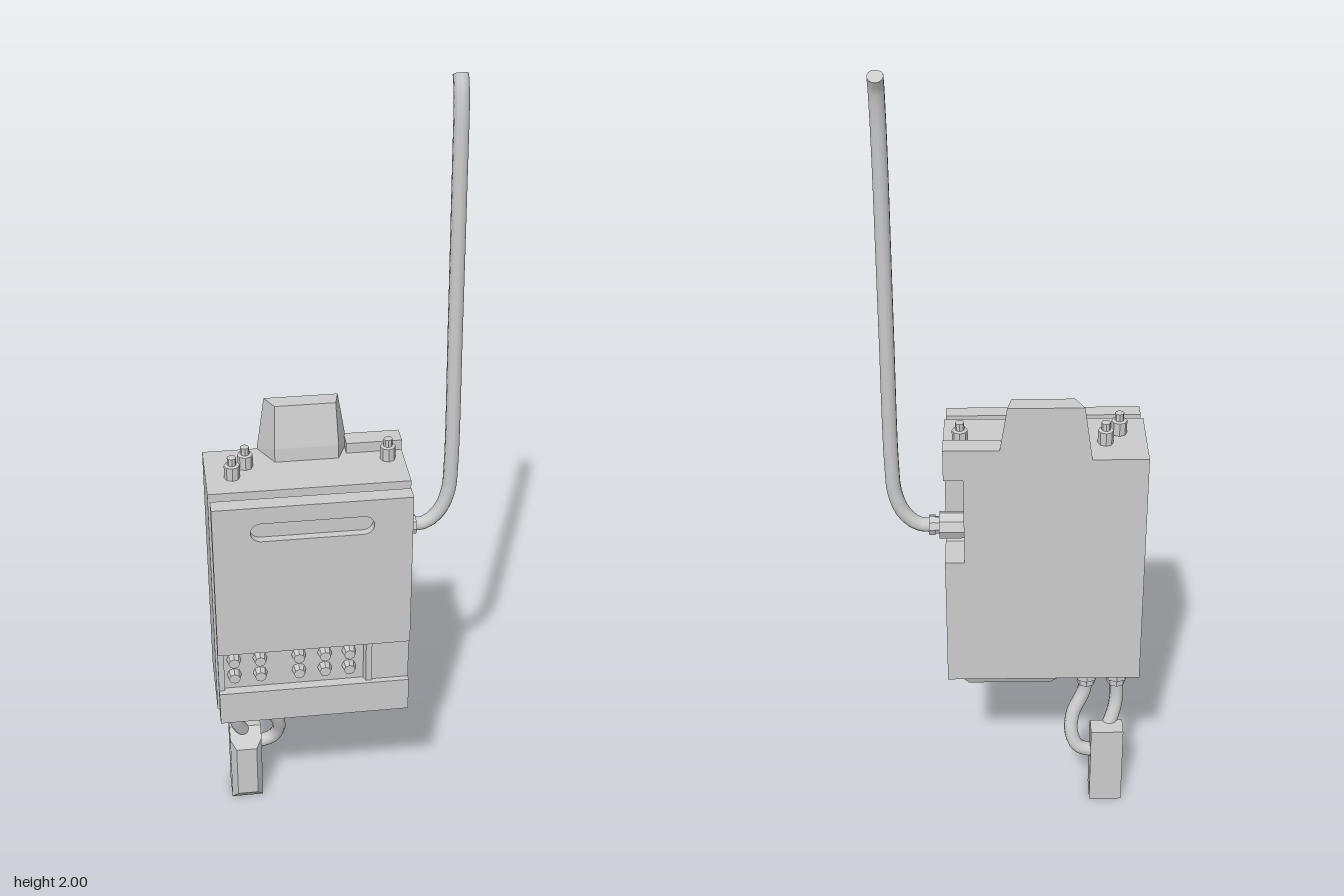
import * as THREE from 'three';
import { ConvexGeometry } from 'three/addons/geometries/ConvexGeometry.js';

const flat = new THREE.MeshStandardMaterial({ color: 0xcccccc, flatShading: true });
const smooth = new THREE.MeshStandardMaterial({ color: 0xcccccc });

export function createModel() {
  const model = new THREE.Group();

  const add = (name, geo, mat = flat) => {
    const mesh = new THREE.Mesh(geo, mat);
    mesh.name = name;
    model.add(mesh);
    return mesh;
  };
  // Box given by its limits on each axis
  const box = (name, x0, x1, y0, y1, z0, z1) =>
    add(name, new THREE.BoxGeometry(x1 - x0, y1 - y0, z1 - z0))
      .position.set((x0 + x1) / 2, (y0 + y1) / 2, (z0 + z1) / 2);
  const hull = (name, pts) =>
    add(name, new ConvexGeometry(pts.map(p => new THREE.Vector3(...p))));
  // Stepped cylinder along +y from [radius, height] pairs
  const fitting = (name, profile, sides, pos, rotZ = 0) => {
    const pts = profile.map(([r, h]) => new THREE.Vector2(r, h));
    const mesh = add(name, new THREE.LatheGeometry(pts, sides));
    mesh.position.set(...pos);
    mesh.rotation.z = rotZ;
  };
  // Round cable with closed ends
  const cable = (name, pts, radius, segments) => {
    const curve = new THREE.CatmullRomCurve3(pts.map(p => new THREE.Vector3(...p)), false, 'centripetal');
    add(name, new THREE.TubeGeometry(curve, segments, radius, 10), smooth);
    for (const t of [0, 1]) {
      const cap = add(name + 'End', new THREE.CircleGeometry(radius, 10));
      cap.position.copy(curve.getPoint(t));
      cap.lookAt(cap.position.clone().addScaledVector(curve.getTangent(t), t ? 1 : -1));
    }
  };

  // Main case, with a chamfered side recess open to the back
  box('caseCore', -0.314, 0.125, 0.415, 1.065, -0.13, 0.065);
  const side = new THREE.Shape([
    [-0.065, 0.415], [0.13, 0.415], [0.13, 0.775], [0.035, 0.775], [0, 0.815],
    [0, 0.97], [0.035, 1.01], [0.13, 1.01], [0.13, 1.065], [-0.065, 1.065],
  ].map(([x, y]) => new THREE.Vector2(x, y)));
  const sideGeo = new THREE.ExtrudeGeometry(side, { depth: 0.047, bevelEnabled: false });
  sideGeo.rotateY(Math.PI / 2).translate(0.125, 0, 0);
  add('caseSide', sideGeo);
  box('topLedge', 0.035, 0.172, 1.065, 1.092, -0.13, -0.08);
  box('frontGasket', -0.29, 0.148, 0.44, 1.04, 0.065, 0.09);

  // Front cover with a handle slot
  box('coverBacking', -0.31, 0.168, 0.635, 1.06, 0.09, 0.11);
  const cover = new THREE.Shape([
    [-0.31, 0.635], [0.168, 0.635], [0.168, 1.06], [-0.31, 1.06],
  ].map(([x, y]) => new THREE.Vector2(x, y)));
  const slot = new THREE.Path();
  slot.absarc(0.05, 0.99, 0.025, Math.PI / 2, -Math.PI / 2, true);
  slot.absarc(-0.195, 0.99, 0.025, -Math.PI / 2, -Math.PI * 1.5, true);
  cover.holes.push(slot);
  const coverGeo = new THREE.ExtrudeGeometry(cover, { depth: 0.02, bevelEnabled: false, curveSegments: 6 });
  add('cover', coverGeo.translate(0, 0, 0.11));
  box('lowerCover', -0.31, 0.168, 0.42, 0.513, 0.09, 0.13);

  // Recessed control strip
  box('controlStrip', -0.31, 0.168, 0.513, 0.635, 0.09, 0.105);
  box('stripLeftEnd', -0.31, -0.295, 0.513, 0.635, 0.105, 0.115);
  box('stripRightEnd', 0.075, 0.168, 0.513, 0.635, 0.105, 0.115);
  hull('stripDivider', [0.513, 0.635].flatMap(y =>
    [[0.055, y, 0.105], [0.06, y, 0.12], [0.075, y, 0.12], [0.075, y, 0.105]]));
  for (const x of [-0.27, -0.205, -0.108, -0.043, 0.018]) {
    for (const y of [0.555, 0.602]) {
      const button = add('button', new THREE.CylinderGeometry(0.014, 0.018, 0.02, 8));
      button.rotation.x = Math.PI / 2;
      button.position.set(x, y, 0.115);
    }
  }

  // Tapered hump on top, at the back
  hull('topHump', [
    [1.065, -0.18, 0.042, -0.142, 0.014, -0.06],
    [1.1, -0.175, 0.037, -0.142, 0.014, -0.062],
    [1.205, -0.16, 0.02, -0.138, 0.01, -0.086],
  ].flatMap(([y, b0, b1, f0, f1, z]) =>
    [[b0, y, -0.13], [b1, y, -0.13], [f0, y, z], [f1, y, z]]));

  // Knobs on top
  for (const [x, z] of [[-0.215, -0.05], [-0.25, -0.005], [0.132, -0.045]]) {
    fitting('topKnob', [[0.019, 0], [0.019, 0.034], [0.011, 0.036], [0.011, 0.055], [0, 0.057]],
      8, [x, 1.065, z]);
  }

  // Tapered block under the case
  hull('underBlock', [
    [-0.13, 0.415, 0], [0.15, 0.415, 0], [-0.13, 0.415, -0.11], [0.15, 0.415, -0.11],
    [-0.09, 0.376, -0.02], [0.12, 0.376, -0.02], [-0.09, 0.376, -0.095], [0.12, 0.376, -0.095],
  ]);

  // Side antenna and its fitting
  fitting('antennaFitting',
    [[0.034, 0], [0.034, 0.06], [0.022, 0.06], [0.022, 0.07], [0.025, 0.07], [0.025, 0.085], [0, 0.085]],
    8, [0.125, 0.848, -0.072], -Math.PI / 2);
  cable('antenna', [
    [0.19, 0.848, -0.072], [0.235, 0.852, -0.072], [0.27, 0.885, -0.072], [0.29, 0.94, -0.071],
    [0.295, 1.02, -0.071], [0.293, 1.4, -0.08], [0.29, 1.8, -0.09], [0.29, 1.92, -0.098],
    [0.29, 1.965, -0.108], [0.29, 1.989, -0.122],
  ], 0.018, 60);

  // Lower sockets and looped cables
  for (const x of [-0.262, -0.184]) {
    fitting('cableSocket', [[0, -0.075], [0.024, -0.075], [0.024, -0.055], [0.031, -0.055], [0.031, 0]],
      8, [x, 0.415, -0.05]);
  }
  cable('shortCable', [
    [-0.262, 0.36, -0.05], [-0.264, 0.29, -0.052], [-0.255, 0.245, -0.065], [-0.235, 0.2, -0.085],
  ], 0.018, 20);
  cable('longCable', [
    [-0.184, 0.36, -0.05], [-0.178, 0.31, -0.052], [-0.15, 0.25, -0.07], [-0.147, 0.2, -0.09],
    [-0.165, 0.165, -0.1], [-0.22, 0.148, -0.1],
  ], 0.018, 30);

  // Hanging plug with a bevelled front
  hull('plug', [-1, 1].flatMap(s => {
    const x = -0.238 + s * 0.042, xf = -0.238 + s * 0.027;
    return [
      [x, 0, -0.125], [x, 0.23, -0.125], [x, 0.23, -0.075], [x, 0.205, -0.05],
      [x, 0, -0.055], [xf, 0.03, -0.031], [xf, 0.185, -0.031],
    ];
  }));

  return model;
}
